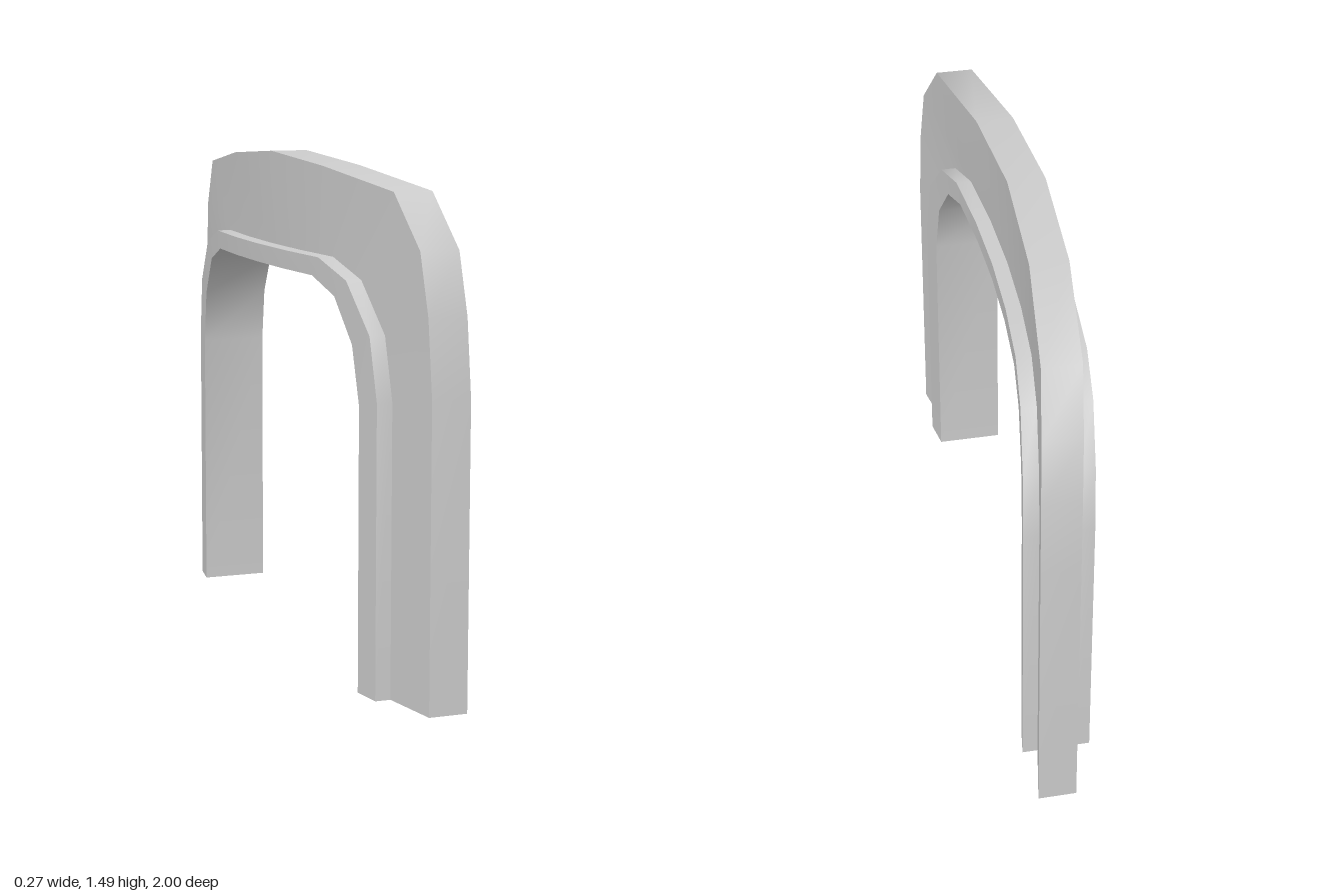
import * as THREE from 'three';
import { toCreasedNormals } from 'three/addons/utils/BufferGeometryUtils.js';

// Half outlines as [z, y], from the foot up to the crown
const OUTER = [[1, 0], [1, 0.87], [0.98, 1.09], [0.94, 1.265], [0.81, 1.415], [0.4, 1.464], [0, 1.488]];
const STEP = [[0.81, 0], [0.81, 0.84], [0.77, 1.02], [0.64, 1.16], [0.47, 1.21], [0.235, 1.21], [0, 1.21]];
const OPENING = [[0.715, 0], [0.715, 0.82], [0.675, 0.985], [0.57, 1.11], [0.43, 1.155], [0.215, 1.155], [0, 1.155]];

const PANEL = 0.0565; // half thickness of the outer band
const TRIM = 0.102;   // half thickness of the inner lip

// Mirror a half outline over the crown
const mirror = (half) => [...half, ...half.slice(0, -1).reverse().map(([z, y]) => [-z, y])];

// The whole arch bows gently towards -x in the middle
const bow = (z) => -0.038 + 0.106 * z * z;

function archGeometry() {
  const [outer, step, opening] = [OUTER, STEP, OPENING].map(mirror);
  const positions = [];
  const index = [];
  const n = 8;
  const last = outer.length - 1;

  // Stepped cross-section at every station along the arch
  for (let i = 0; i <= last; i++) {
    const ring = [
      [outer[i], PANEL], [step[i], PANEL], [step[i], TRIM], [opening[i], TRIM],
      [opening[i], -TRIM], [step[i], -TRIM], [step[i], -PANEL], [outer[i], -PANEL],
    ];
    for (const [[z, y], x] of ring) positions.push(bow(z) + x, y, z);
  }

  // Skin between neighbouring stations
  for (let i = 0; i < last; i++) {
    for (let j = 0; j < n; j++) {
      const a = i * n + j;
      const b = i * n + (j + 1) % n;
      index.push(a, b, b + n, a, b + n, a + n);
    }
  }

  // Soles of the two feet
  for (const [a, b, c, d] of [[0, 1, 6, 7], [2, 3, 4, 5]]) {
    index.push(a, c, b, a, d, c);
    const e = last * n;
    index.push(e + a, e + b, e + c, e + a, e + c, e + d);
  }

  const geometry = new THREE.BufferGeometry();
  geometry.setAttribute('position', new THREE.Float32BufferAttribute(positions, 3));
  geometry.setIndex(index);
  return toCreasedNormals(geometry, 0.85);
}

export function createModel() {
  const group = new THREE.Group();
  group.name = 'archway';
  const arch = new THREE.Mesh(archGeometry(), new THREE.MeshStandardMaterial({ color: 0xcccccc }));
  arch.name = 'archFrame';
  group.add(arch);
  return group;
}
